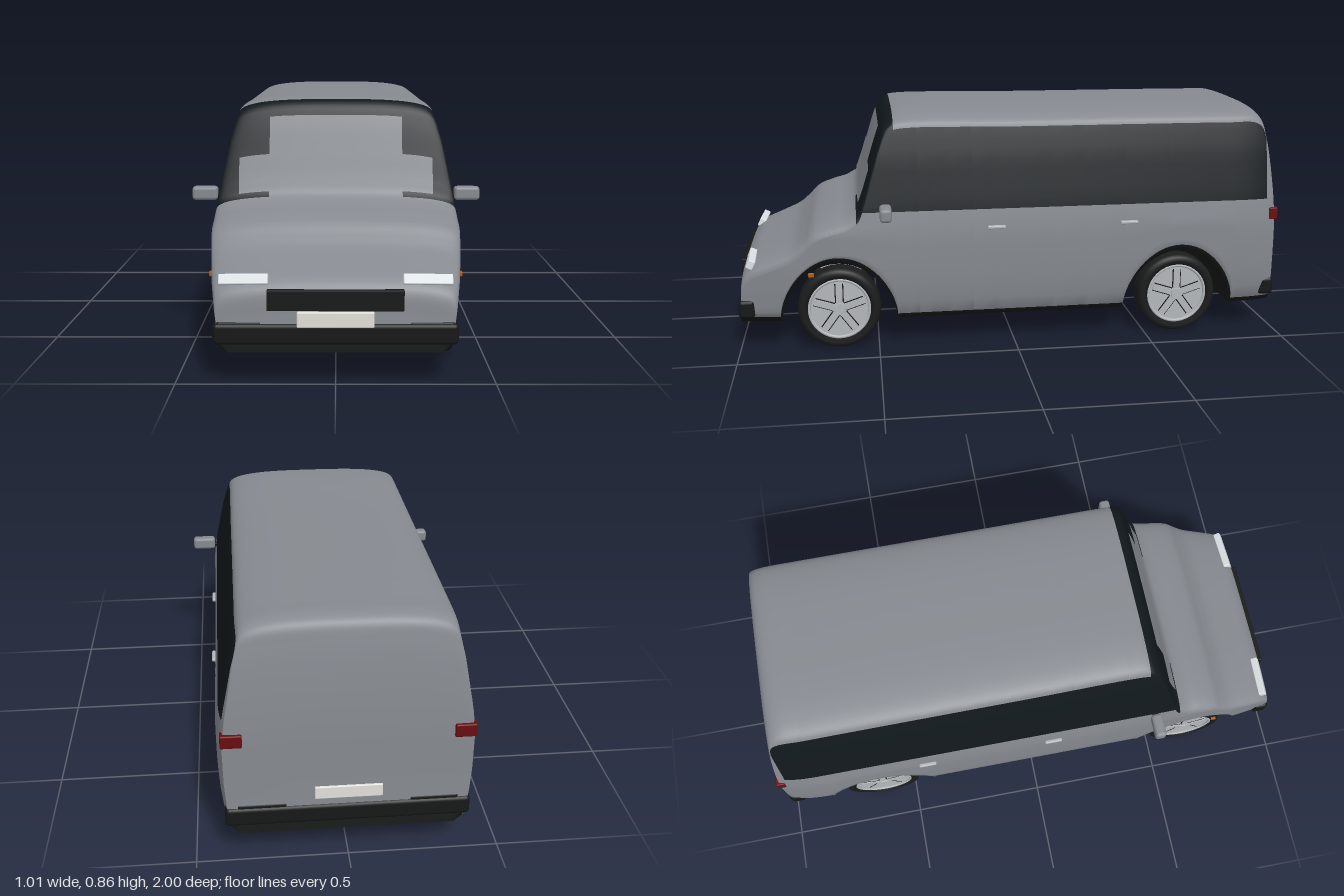
import * as THREE from 'three';
import { RoundedBoxGeometry } from 'three/addons/geometries/RoundedBoxGeometry.js';

const mat = (color) => new THREE.MeshStandardMaterial({ color, roughness: 0.6 });
const PAINT = mat(0x868a90), GLASS = mat(0x11181c), BLACK = mat(0x161717), TYRE = mat(0x1b1c1c);
const RIM = mat(0xb4b8bb), LAMP = mat(0xdde3e6), PLATE = mat(0xe2e0da), RED = mat(0x6a0d10), AMBER = mat(0xb05a10);
GLASS.side = PAINT.side = BLACK.side = THREE.DoubleSide;

const R = 0.055; // roof and bonnet corner radius
const AXLES = [0.64, -0.62], ARCH = 0.21;
const { lerp, clamp } = THREE.MathUtils;

// Centre line of the body from tail to nose, as [z, y]
const centreLine = new THREE.CatmullRomCurve3([
  [-0.992, 0.15], [-0.988, 0.32], [-0.984, 0.5], [-0.972, 0.65], [-0.955, 0.77], [-0.94, 0.825], [-0.91, 0.844], [-0.8, 0.847],
  [0, 0.851], [0.39, 0.854], [0.435, 0.846], [0.46, 0.825], [0.48, 0.78], [0.515, 0.67], [0.545, 0.575], [0.565, 0.53],
  [0.605, 0.503], [0.66, 0.487], [0.72, 0.463], [0.76, 0.425], [0.8, 0.392], [0.88, 0.357], [0.95, 0.327], [0.98, 0.295],
  [0.989, 0.22], [0.993, 0.15],
].map(([z, y]) => new THREE.Vector3(0, y, z)), false, 'centripetal').getPoints(150).map((p) => [p.z, p.y]);

// Half width of the walls, as [y, x]
const wall = [[0.1, 0.385], [0.14, 0.405], [0.22, 0.415], [0.3, 0.42], [0.43, 0.421], [0.52, 0.408], [0.7, 0.372], [0.8, 0.344], [0.86, 0.326]];

function lookup(table, t) {
  if (t <= table[0][0]) return table[0][1];
  for (let i = 1; i < table.length; i++) {
    const [a, b] = [table[i - 1], table[i]];
    if (t <= b[0]) return lerp(a[1], b[1], (t - a[0]) / (b[0] - a[0] || 1));
  }
  return table[table.length - 1][1];
}

const topY = (z) => lookup(centreLine, z);
function halfWidth(y, z) {
  const front = Math.max(0, (z - 0.5) / 0.49), rear = Math.max(0, (-z - 0.8) / 0.19);
  return lookup(wall, y) * (1 - 0.1 * front ** 2 - 0.05 * rear ** 3);
}
function bottomY(z) {
  for (const c of AXLES) {
    const u = (z - c) / ARCH;
    if (Math.abs(u) < 1) return 0.1 + 0.225 * (1 - u * u) ** 0.6;
  }
  return 0.1;
}

// Row numbers in a cross-section: floor, sill, lower wall, window band, rounded top
const SILL = 2, BELT = 10, RAIL = 18, CROWN = 32;

function section(z) {
  const yb = bottomY(z), yt = topY(z), low = yb + 0.025;
  const r = Math.min(R, 0.5 * (yt - low)), high = yt - r, belt = clamp(0.51, low, high);
  const half = [[0, yb], [halfWidth(yb, z) - 0.015, yb]];
  for (let j = SILL; j <= RAIL; j++) {
    const y = j <= BELT ? lerp(low, belt, (j - SILL) / (BELT - SILL)) : lerp(belt, high, (j - BELT) / (RAIL - BELT));
    half.push([halfWidth(y, z), y]);
  }
  for (let j = RAIL + 1; j <= CROWN; j++) {
    const a = (j - RAIL) / (CROWN - RAIL) * Math.PI / 2, y = high + r * Math.sin(a) ** (2 / 3);
    half.push([j === CROWN ? 0 : halfWidth(y, z) * Math.cos(a) ** (2 / 3), y]);
  }
  return [...half, ...half.slice(1, -1).reverse().map(([x, y]) => [-x, y])];
}

// Lofted shell, divided into paint, glass and black underside
function buildBody(group) {
  let zs = [...centreLine.map((p) => p[0]), -0.953, 0.43, 0.57];
  for (const c of AXLES) for (let i = 0; i <= 32; i++) zs.push(c - ARCH * Math.cos(i / 32 * Math.PI));
  for (let z = -0.35; z < 0.4; z += 0.1) zs.push(z);
  zs = zs.sort((a, b) => a - b).filter((z, i, all) => i === 0 || z - all[i - 1] > 0.0003);
  const n = CROWN * 2, pos = [], paint = [], glass = [], black = [];
  zs.forEach((z) => section(z).forEach(([x, y]) => pos.push(x, y, z)));
  for (let i = 0; i < zs.length - 1; i++) {
    const z = (zs[i] + zs[i + 1]) / 2;
    for (let j = 0; j < n; j++) {
      const row = j < CROWN ? j : n - 1 - j;
      const side = row >= BELT && row < RAIL && z > -0.953 && z < 0.575;
      const screen = row >= RAIL && z > 0.43 && z < 0.57;
      const list = row < SILL ? black : side || screen ? glass : paint;
      const a = i * n + j, b = i * n + (j + 1) % n;
      list.push(a, b, a + n, b, b + n, a + n);
    }
  }
  const whole = new THREE.BufferGeometry();
  whole.setAttribute('position', new THREE.Float32BufferAttribute(pos, 3));
  whole.setIndex([...paint, ...glass, ...black]);
  whole.computeVertexNormals();
  for (const [name, index, m] of [['bodyShell', paint, PAINT], ['windows', glass, GLASS], ['underside', black, BLACK]]) {
    const g = new THREE.BufferGeometry();
    g.setAttribute('position', whole.attributes.position);
    g.setAttribute('normal', whole.attributes.normal);
    g.setIndex(index);
    add(group, name, g, m);
  }
}

// Thin sheet lying on the windscreen between two x and two z positions
function screenPatch(x0, x1, z0, z1) {
  const g = new THREE.PlaneGeometry(1, 1, 12, 24), p = g.attributes.position;
  for (let i = 0; i < p.count; i++) {
    const x = lerp(x0, x1, p.getX(i) + 0.5), z = lerp(z0, z1, p.getY(i) + 0.5), yt = topY(z);
    const drop = R * (1 - (1 - Math.min(1, Math.abs(x) / halfWidth(yt, z)) ** 3) ** (1 / 3));
    p.setXYZ(i, x, yt - drop + 0.003, z + 0.005);
  }
  // Plane rows run from the top of the screen (z1) down to z0
  g.computeVertexNormals();
  return g;
}

function add(parent, name, geometry, material, x = 0, y = 0, z = 0) {
  const m = new THREE.Mesh(geometry, material);
  m.name = name;
  m.position.set(x, y, z);
  parent.add(m);
  return m;
}
const rbox = (w, h, d, r = 0.008) => new RoundedBoxGeometry(w, h, d, 3, r);

// Wheel with its axis along x and its outer face towards +x
function makeWheel() {
  const wheel = new THREE.Group();
  wheel.name = 'wheel';
  const profile = [[0.112, -0.04], [0.128, -0.046], [0.142, -0.042], [0.149, -0.028], [0.15, 0], [0.149, 0.028],
    [0.142, 0.042], [0.128, 0.046], [0.112, 0.04], [0.112, -0.04]].map(([r, y]) => new THREE.Vector2(r, y));
  add(wheel, 'tyre', new THREE.LatheGeometry(profile, 48), TYRE).rotation.z = -Math.PI / 2;
  add(wheel, 'rim', new THREE.CylinderGeometry(0.113, 0.113, 0.07, 48), RIM).rotation.z = -Math.PI / 2;
  add(wheel, 'rimLip', new THREE.TorusGeometry(0.109, 0.006, 8, 48), RIM, 0.037).rotation.y = Math.PI / 2;
  for (let i = 0; i < 5; i++) {
    const spoke = new THREE.Group();
    spoke.name = 'spoke';
    spoke.rotation.x = i / 5 * Math.PI * 2;
    add(spoke, 'spokeBed', new THREE.BoxGeometry(0.002, 0.072, 0.032), BLACK, 0.0348, 0.058);
    add(spoke, 'spokeFace', new THREE.BoxGeometry(0.008, 0.078, 0.024), RIM, 0.036, 0.056);
    wheel.add(spoke);
  }
  add(wheel, 'hub', new THREE.CylinderGeometry(0.02, 0.024, 0.012, 24), RIM, 0.037).rotation.z = -Math.PI / 2;
  return wheel;
}

export function createModel() {
  const van = new THREE.Group();
  van.name = 'van';
  buildBody(van);

  // Light windscreen panel: narrow upper part with wider lower wings
  const zAt = (y) => lookup(centreLine.filter((p) => p[0] > 0.4 && p[0] < 0.62).map(([z, h]) => [h, z]).reverse(), y);
  add(van, 'windscreenPanel', screenPatch(-0.23, 0.23, 0.575, zAt(0.793)), PAINT);
  for (const s of [-1, 1]) {
    const [a, b] = s > 0 ? [0.23, 0.335] : [-0.335, -0.23];
    add(van, 'windscreenWing', screenPatch(a, b, zAt(0.54), zAt(0.665)), PAINT);
  }

  // Parts repeated on both sides
  for (const s of [-1, 1]) {
    for (const z of AXLES) {
      const wheel = makeWheel();
      wheel.position.set(s * 0.35, 0.15, z);
      if (s < 0) wheel.rotation.y = Math.PI;
      van.add(wheel);
    }
    add(van, 'mirror', rbox(0.09, 0.048, 0.042, 0.012), PAINT, s * 0.462, 0.519, 0.467);
    add(van, 'mirrorStalk', rbox(0.04, 0.016, 0.02, 0.004), BLACK, s * 0.41, 0.508, 0.467);
    for (const z of [0.07, -0.42]) add(van, 'doorHandle', rbox(0.014, 0.013, 0.066, 0.005), RIM, s * 0.424, 0.445, z);
    const lamp = add(van, 'headlight', rbox(0.155, 0.034, 0.026, 0.004), LAMP, s * 0.287, 0.322, 0.952);
    lamp.rotation.set(-0.45, s * 0.04, 0);
    add(van, 'sideIndicator', rbox(0.01, 0.016, 0.02, 0.003), AMBER, s * 0.415, 0.29, 0.735);
    add(van, 'tailLight', rbox(0.07, 0.046, 0.034, 0.005), RED, s * 0.372, 0.453, -0.978);
    // Raised bumper corners
    add(van, 'frontBumperCorner', rbox(0.14, 0.02, 0.05), BLACK, s * 0.3, 0.188, 0.968);
    add(van, 'rearBumperCorner', rbox(0.16, 0.024, 0.05), BLACK, s * 0.28, 0.198, -0.968);
  }

  // Front and rear trim
  add(van, 'grille', rbox(0.425, 0.066, 0.022, 0.003), BLACK, 0, 0.265, 0.984);
  add(van, 'frontBumper', rbox(0.765, 0.068, 0.058, 0.014), BLACK, 0, 0.158, 0.97);
  add(van, 'frontPlate', rbox(0.24, 0.05, 0.016, 0.004), PLATE, 0, 0.205, 0.993);
  add(van, 'rearBumper', rbox(0.8, 0.068, 0.058, 0.014), BLACK, 0, 0.165, -0.97);
  add(van, 'rearPlate', rbox(0.22, 0.045, 0.012, 0.003), PLATE, 0, 0.245, -0.991);
  return van;
}
